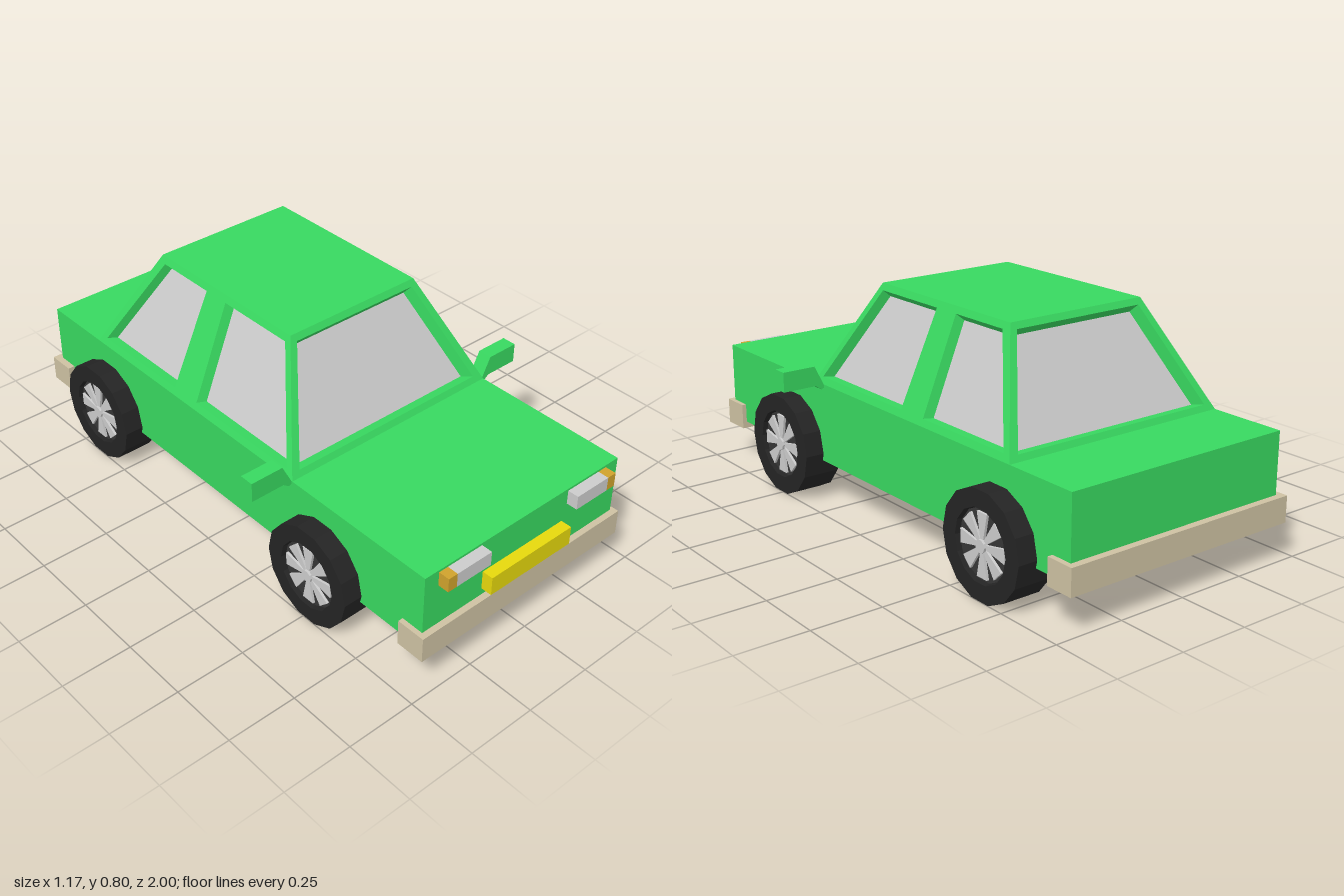
import * as THREE from 'three';

const paint = (color, side = THREE.FrontSide) =>
  new THREE.MeshStandardMaterial({ color, flatShading: true, side });
const GREEN = paint(0x38d860);
const GREEN_THIN = paint(0x38d860, THREE.DoubleSide);
const GREY = paint(0xcccccc);
const GLASS = paint(0xcccccc, THREE.DoubleSide);
const BEIGE = paint(0xcdc1a2);
const YELLOW = paint(0xe6d80c);
const ORANGE = paint(0xcfa22c);
const TYRE = paint(0x242424);
const RIM = paint(0x363636);

function add(parent, name, geometry, material) {
  const mesh = new THREE.Mesh(geometry, material);
  mesh.name = name;
  parent.add(mesh);
  return mesh;
}

// Box given by its limits on each axis
function box(parent, name, material, [x0, x1], [y0, y1], [z0, z1]) {
  const mesh = add(parent, name, new THREE.BoxGeometry(x1 - x0, y1 - y0, z1 - z0), material);
  mesh.position.set((x0 + x1) / 2, (y0 + y1) / 2, (z0 + z1) / 2);
}

const polygon = (points) => new THREE.Shape(points.map(([x, y]) => new THREE.Vector2(x, y)));

// Geometry from four-cornered faces, corners counter-clockwise
function quads(faces) {
  const g = new THREE.BufferGeometry();
  g.setFromPoints(faces.flatMap(([a, b, c, d]) => [a, b, c, a, c, d]));
  g.computeVertexNormals();
  return g;
}

const BELT = 0.44, ROOF = 0.805;

// Sloping cabin wall with recessed windows, made facing +z and then turned
function cabinWall(parent, name, turn, bottom, top, outline, windows) {
  const wall = new THREE.Group();
  wall.name = name;
  wall.rotation.y = turn;
  parent.add(wall);
  const slope = (top - bottom) / (ROOF - BELT);
  const onWall = (x, y) => new THREE.Vector3(x, y, bottom + (y - BELT) * slope);
  const inward = new THREE.Vector3(0, slope, -1).normalize().multiplyScalar(0.032);

  const shape = polygon(outline);
  shape.holes = windows.map(polygon);
  const frame = new THREE.ShapeGeometry(shape);
  const p = frame.attributes.position;
  for (let i = 0; i < p.count; i++) p.setZ(i, onWall(p.getX(i), p.getY(i)).z);
  frame.computeVertexNormals();
  add(wall, name + 'Frame', frame, GREEN_THIN);

  for (const w of windows) {
    const rim = w.map(([x, y]) => onWall(x, y));
    const centre = rim.reduce((s, v) => s.add(v), new THREE.Vector3()).divideScalar(4);
    const pane = rim.map((v) => v.clone().lerp(centre, 0.065).add(inward));
    const reveal = rim.map((v, i) => [v, rim[(i + 1) % 4], pane[(i + 1) % 4], pane[i]]);
    add(wall, name + 'Reveal', quads(reveal), GREEN_THIN);
    add(wall, name + 'Glass', quads([pane]), GLASS);
  }
}

// Mirror an outline left to right, keeping it counter-clockwise
const flip = (points) => points.map(([x, y]) => [-x, y]).reverse();

function createCabin() {
  const cabin = new THREE.Group();
  cabin.name = 'cabin';
  const xR = -0.255, xL = 0.28;
  const front = [[-0.43, BELT], [0.43, BELT], [xL, ROOF], [xR, ROOF]];
  const screen = [[-0.39, 0.46], [0.39, 0.46], [0.263, 0.784], [-0.238, 0.784]];
  cabinWall(cabin, 'windscreen', 0, 0.37, 0.16, front, [screen]);
  cabinWall(cabin, 'rearScreen', Math.PI, 0.7, 0.515, flip(front), [flip(screen)]);

  const side = [[-0.37, BELT], [0.7, BELT], [0.515, ROOF], [-0.16, ROOF]];
  const frontWindow = [[-0.33, 0.463], [0.137, 0.463], [0.157, 0.782], [-0.147, 0.782]];
  const rearWindow = [[0.257, 0.463], [0.66, 0.463], [0.49, 0.782], [0.257, 0.782]];
  const windows = [frontWindow, rearWindow];
  cabinWall(cabin, 'leftSide', Math.PI / 2, 0.43, xL, side, windows);
  cabinWall(cabin, 'rightSide', -Math.PI / 2, 0.43, -xR, flip(side), windows.map(flip));

  const corner = (x, z) => new THREE.Vector3(x, ROOF, z);
  add(cabin, 'roof', quads([[corner(xR, 0.16), corner(xL, 0.16), corner(xL, -0.515), corner(xR, -0.515)]]), GREEN_THIN);
  return cabin;
}

// Wheel with its axle along y, outer face up
function createWheel() {
  const wheel = new THREE.Group();
  wheel.name = 'wheel';
  const R = 0.183, half = 0.068;
  const profile = [[0, -half], [R, -half], [R, half], [0.122, half], [0.118, half - 0.018]];
  add(wheel, 'tyre', new THREE.LatheGeometry(profile.map(([x, y]) => new THREE.Vector2(x, y)), 14), TYRE);
  const disc = add(wheel, 'rimDisc', new THREE.CylinderGeometry(0.119, 0.119, 0.01, 14), RIM);
  disc.position.y = half - 0.022;
  const hub = add(wheel, 'hub', new THREE.CylinderGeometry(0.022, 0.022, 0.02, 10), GREY);
  hub.position.y = half - 0.01;

  // Spokes widen towards the rim
  const spoke = new THREE.ExtrudeGeometry(
    polygon([[0.015, -0.006], [0.105, -0.024], [0.105, 0.024], [0.015, 0.006]]),
    { depth: 0.012, bevelEnabled: false });
  spoke.rotateX(-Math.PI / 2);
  for (let i = 0; i < 8; i++) {
    const arm = add(wheel, 'spoke', spoke, GREY);
    arm.position.y = half - 0.02;
    arm.rotation.y = (i * Math.PI) / 4;
  }
  return wheel;
}

export function createModel() {
  const car = new THREE.Group();
  car.name = 'car';

  box(car, 'body', GREEN, [-0.43, 0.43], [0.157, BELT], [-0.975, 0.96]);
  car.add(createCabin());

  // Bumpers
  box(car, 'frontBumper', BEIGE, [-0.448, 0.446], [0.133, 0.225], [0.877, 0.982]);
  box(car, 'rearBumper', BEIGE, [-0.455, 0.449], [0.133, 0.225], [-1, -0.897]);

  // Nose plate and lamps
  box(car, 'frontPlate', YELLOW, [-0.18, 0.177], [0.251, 0.319], [0.95, 1]);
  for (const s of [-1, 1]) {
    const span = (a, b) => (s > 0 ? [a, b] : [-b, -a]);
    box(car, 'headlamp', GREY, span(0.193, 0.337), [0.381, 0.432], [0.95, 1]);
    box(car, 'indicator', ORANGE, span(0.337, 0.373), [0.381, 0.432], [0.95, 1]);
  }

  // Door mirrors on short slanted arms
  const arm = [[0.425, 0.43], [0.44, 0.424], [0.462, 0.44], [0.587, 0.44], [0.587, 0.51], [0.465, 0.51]];
  for (const outline of [arm, flip(arm)]) {
    const mirror = new THREE.ExtrudeGeometry(polygon(outline), { depth: 0.052, bevelEnabled: false });
    add(car, 'doorMirror', mirror, GREEN).position.z = 0.313;
  }

  // Wheels
  for (const s of [-1, 1]) {
    for (const z of [0.513, -0.647]) {
      const wheel = createWheel();
      wheel.rotation.z = (-s * Math.PI) / 2;
      wheel.position.set(s * 0.431, 0.183, z);
      car.add(wheel);
    }
  }
  return car;
}
